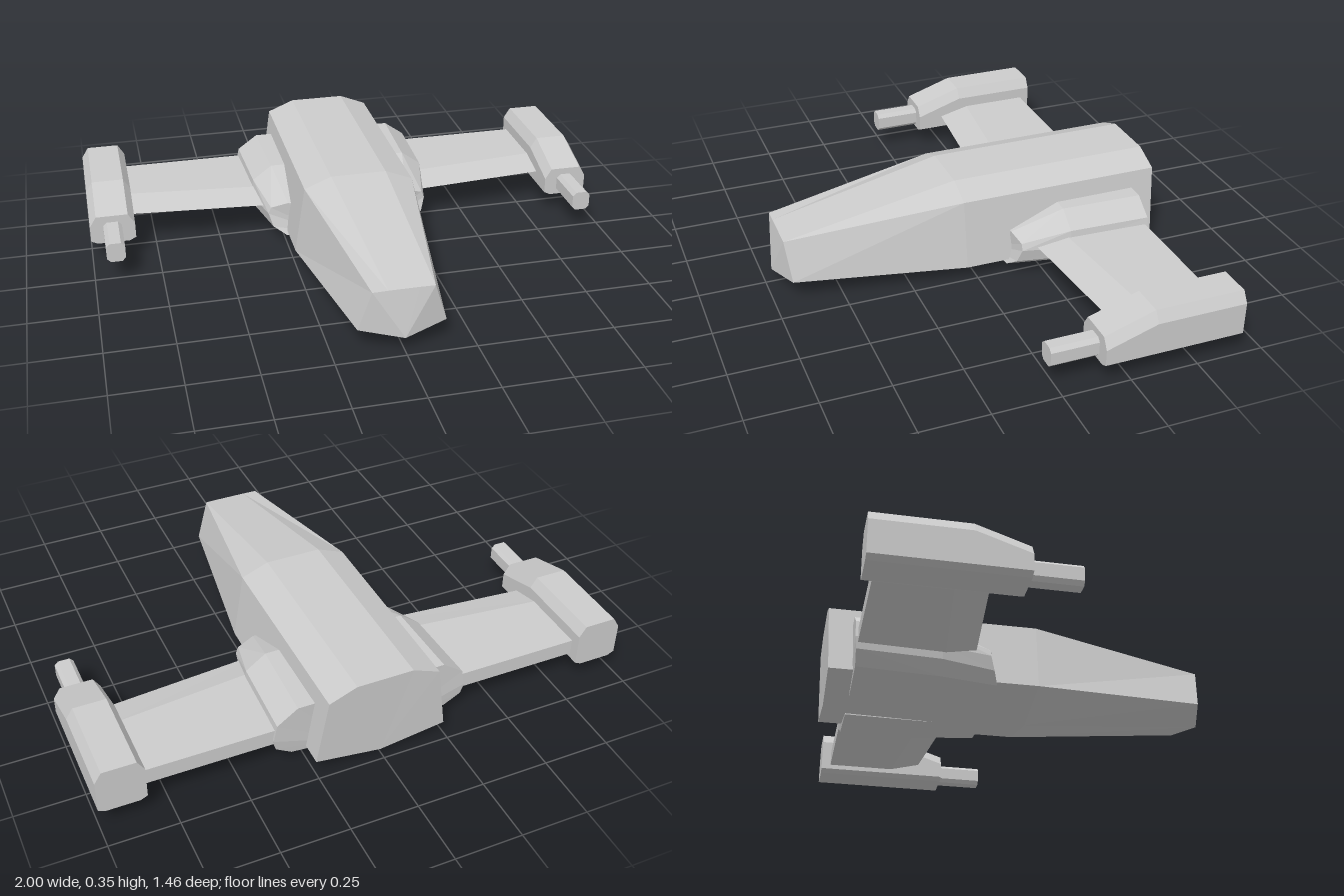
import * as THREE from 'three';

const material = new THREE.MeshStandardMaterial({ color: 0xcccccc, flatShading: true, side: THREE.DoubleSide });

// Skins a row of convex rings ([x, y, z] points) and caps both ends.
function loft(name, rings) {
  const n = rings[0].length;
  const tris = [];
  for (let r = 0; r < rings.length - 1; r++) {
    for (let i = 0; i < n; i++) {
      const j = (i + 1) % n;
      const [a, b, c, d] = [rings[r][i], rings[r][j], rings[r + 1][j], rings[r + 1][i]];
      tris.push([a, b, c], [a, c, d]);
    }
  }
  const last = rings[rings.length - 1];
  for (let i = 1; i < n - 1; i++) {
    tris.push([rings[0][0], rings[0][i + 1], rings[0][i]], [last[0], last[i], last[i + 1]]);
  }
  // Turn the faces outward whichever way the rings were wound
  let volume = 0;
  const v = (p) => new THREE.Vector3(...p);
  for (const [a, b, c] of tris) volume += v(a).dot(v(b).cross(v(c)));
  if (volume < 0) tris.forEach((t) => t.reverse());

  const geometry = new THREE.BufferGeometry();
  geometry.setAttribute('position', new THREE.Float32BufferAttribute(tris.flat(2), 3));
  geometry.computeVertexNormals();
  const mesh = new THREE.Mesh(geometry, material);
  mesh.name = name;
  return mesh;
}

// Completes a half ring (bottom centre up to top edge) with its mirror image.
const symmetric = (half) => [...half, ...half.slice(1).reverse().map(([x, y, z]) => [-x, y, z])];

// Rectangle with chamfered corners at depth z: bx/by bottom cut, tx/ty top cut.
const chamfered = (x0, x1, y0, y1, bx, by, tx, ty, z) => [
  [x0 + bx, y0, z], [x1 - bx, y0, z], [x1, y0 + by, z], [x1, y1 - ty, z],
  [x1 - tx, y1, z], [x0 + tx, y1, z], [x0, y1 - ty, z], [x0, y0 + by, z],
];

function createSide(s) {
  const side = new THREE.Group();
  side.name = s > 0 ? 'leftSide' : 'rightSide';
  const add = (name, rings) =>
    side.add(loft(name, rings.map((ring) => ring.map(([x, y, z]) => [s * x, y, z]))));

  // Faceted fairing at the wing root
  add('wingRootFairing', [
    [[0.08, 0.025, -0.11], [0.25, 0.04, -0.115], [0.3, 0.075, -0.135], [0.315, 0.125, -0.15],
      [0.305, 0.15, -0.15], [0.24, 0.17, -0.135], [0.08, 0.17, -0.13]],
    [[0.08, 0.02, -0.33], [0.29, 0.038, -0.33], [0.345, 0.08, -0.33], [0.355, 0.125, -0.33],
      [0.345, 0.19, -0.33], [0.27, 0.245, -0.33], [0.08, 0.245, -0.33]],
    [[0.08, 0.022, -0.63], [0.3, 0.042, -0.63], [0.36, 0.082, -0.635], [0.37, 0.125, -0.64],
      [0.357, 0.19, -0.64], [0.28, 0.245, -0.64], [0.08, 0.245, -0.64]],
  ]);

  // Wing with a sharp leading edge and a blunt trailing edge
  const wingSection = (x, front, crease) => [
    [x, 0.135, front], [x, 0.165, crease], [x, 0.165, -0.63], [x, 0.105, -0.63], [x, 0.105, crease],
  ];
  add('wing', [wingSection(0.2, -0.195, -0.305), wingSection(0.86, -0.253, -0.373)]);

  // Wingtip pod, sloping down at the front
  const podSection = (top, z) => chamfered(0.83, 1, 0.075, top, 0.025, 0.012, 0.025, 0.04, z);
  add('wingtipPod', [podSection(0.187, -0.15), podSection(0.247, -0.335), podSection(0.247, -0.667)]);

  // Gun barrel
  const barrelSection = (z) => chamfered(0.88, 0.95, 0.086, 0.161, 0.014, 0.014, 0.014, 0.014, z);
  add('gunBarrel', [barrelSection(0.025), barrelSection(-0.2)]);

  return side;
}

export function createModel() {
  const model = new THREE.Group();
  model.name = 'spacecraft';

  // Fuselage from nose to tail
  model.add(loft('fuselage', [
    [[0, 0.056, 0.725], [0.157, 0.082, 0.68], [0.11, 0.231, 0.695], [0.055, 0.232, 0.695]],
    [[0, 0.003, 0.04], [0.247, 0.055, 0.04], [0.207, 0.31, 0.04], [0.105, 0.351, 0.04]],
    [[0, 0.016, -0.718], [0.247, 0.053, -0.72], [0.207, 0.31, -0.73], [0.105, 0.351, -0.73]],
  ].map(symmetric)));

  model.add(createSide(1), createSide(-1));
  return model;
}
